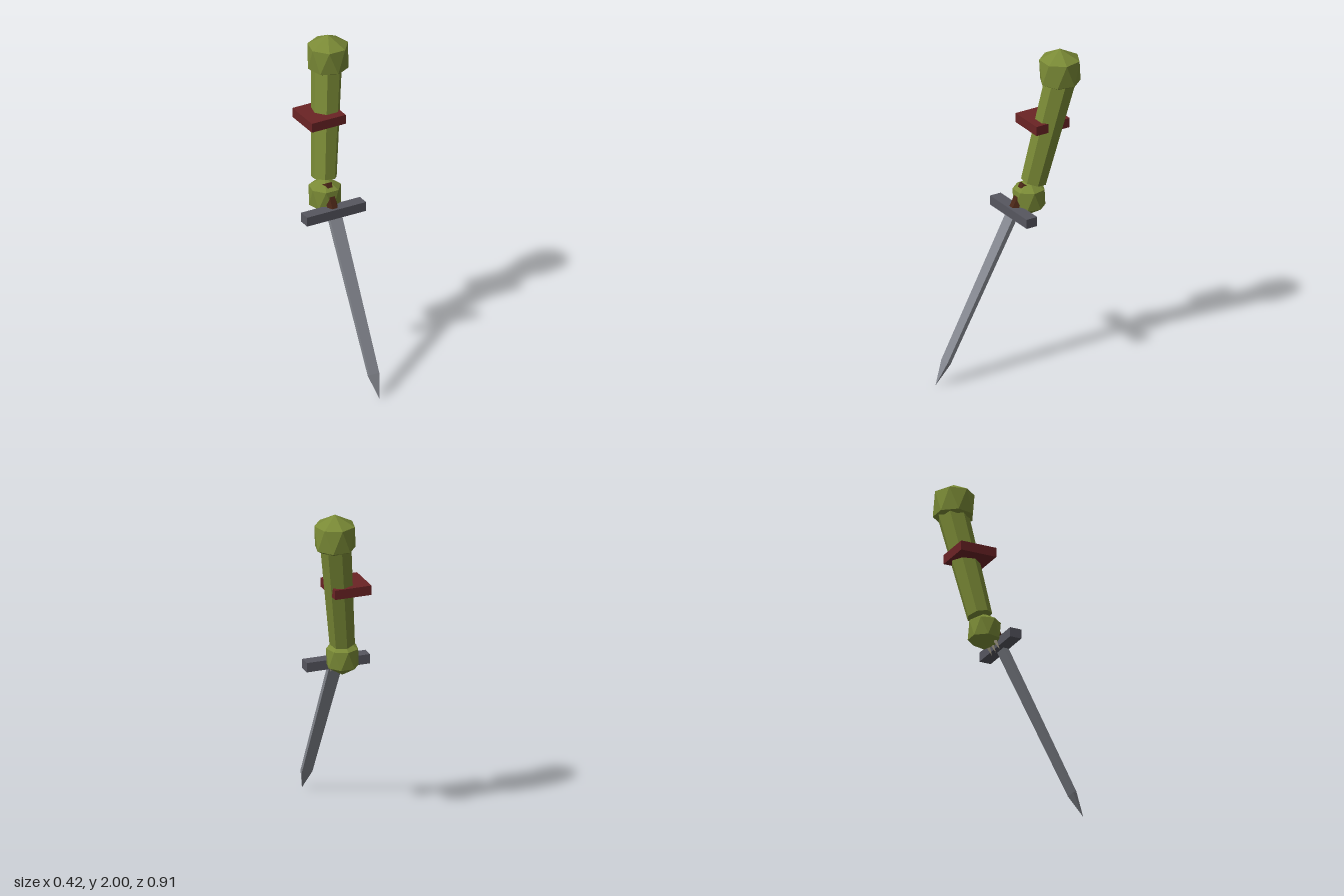
import * as THREE from 'three';
import { ConvexGeometry } from 'three/addons/geometries/ConvexGeometry.js';

const paint = (name, color) => {
  const m = new THREE.MeshStandardMaterial({ color, flatShading: true });
  m.name = name;
  return m;
};

const V = (x, y, z) => new THREE.Vector3(x, y, z);

// Seven-sided faceted ball: two staggered rings between two poles
function facetedBall(ringRadius, ringHeight, poleHeight) {
  const points = [V(0, poleHeight, 0), V(0, -poleHeight, 0)];
  for (let i = 0; i < 7; i++) {
    const a = ((2 * i + 1) * Math.PI) / 7;
    const b = (2 * i * Math.PI) / 7;
    points.push(V(Math.sin(a) * ringRadius, ringHeight, Math.cos(a) * ringRadius));
    points.push(V(Math.sin(b) * ringRadius, -ringHeight, Math.cos(b) * ringRadius));
  }
  return new ConvexGeometry(points);
}

// Turn a mesh whose axis is +y so that it runs from one point to another
function span(mesh, from, to) {
  mesh.position.copy(from).add(to).multiplyScalar(0.5);
  mesh.quaternion.setFromUnitVectors(V(0, 1, 0), to.clone().sub(from).normalize());
  return mesh;
}

export function createModel() {
  const group = new THREE.Group();
  const skin = paint('green skin', 0x7a8a36);
  const steel = paint('blade steel', 0x84878f);
  const iron = paint('dark iron', 0x56565f);
  const leather = paint('brown leather', 0x4a2616);
  const cloth = paint('dark red band', 0x6b2325);
  const claw = paint('ivory claw', 0xd6ccb0);

  const add = (name, geometry, material, x = 0, y = 0, z = 0) => {
    const mesh = new THREE.Mesh(geometry, material);
    mesh.name = name;
    mesh.position.set(x, y, z);
    group.add(mesh);
    return mesh;
  };

  // Arm
  add('shoulder', facetedBall(0.121, 0.07, 0.135), skin, 0.088, 1.865, -0.333);
  add('fist', facetedBall(0.096, 0.055, 0.114), skin, -0.016, 1.05, -0.187);
  const armBottom = V(-0.006, 1.148, -0.213);
  const armTop = V(0.09, 1.85, -0.35);
  const arm = new THREE.CylinderGeometry(0.094, 0.076, armTop.distanceTo(armBottom), 7, 1, false, Math.PI / 7);
  span(add('arm', arm, skin), armBottom, armTop);

  // Square band around the arm
  add('armBand', new THREE.BoxGeometry(0.226, 0.058, 0.228), cloth, -0.005, 1.52, -0.274);

  // Sword: blade, guard and grip share one slanted axis
  const tip = V(-0.018, 0, 0.455);
  const guardCentre = V(-0.018, 0.983, -0.083);
  const length = tip.distanceTo(guardCentre);
  const profile = [[0, 0], [0.033, 0.15], [0.041, length]].map(
    ([halfWidth, h]) => new THREE.Vector2(halfWidth * Math.SQRT2, h - length / 2));
  const blade = new THREE.LatheGeometry(profile, 4, Math.PI / 4).scale(1, 1, 0.36);
  span(add('blade', blade, steel), tip, guardCentre);
  add('guard', new THREE.BoxGeometry(0.393, 0.058, 0.073), iron, -0.018, 0.982, -0.083);

  const gripEnd = guardCentre.clone().add(V(0, 0.15, -0.08));
  const grip = new THREE.CylinderGeometry(0.034, 0.034, 0.17, 6, 1, false, Math.PI / 6);
  span(add('grip', grip, leather), guardCentre, gripEnd);

  // Three claws below the fist
  for (const dx of [-0.045, 0, 0.045]) {
    const base = V(-0.02 + dx, 0.995, -0.15);
    const point = V(-0.02 + dx * 1.1, 0.93, -0.113);
    const cone = new THREE.ConeGeometry(0.014, base.distanceTo(point), 5);
    span(add('claw', cone, claw), base, point);
  }

  return group;
}
